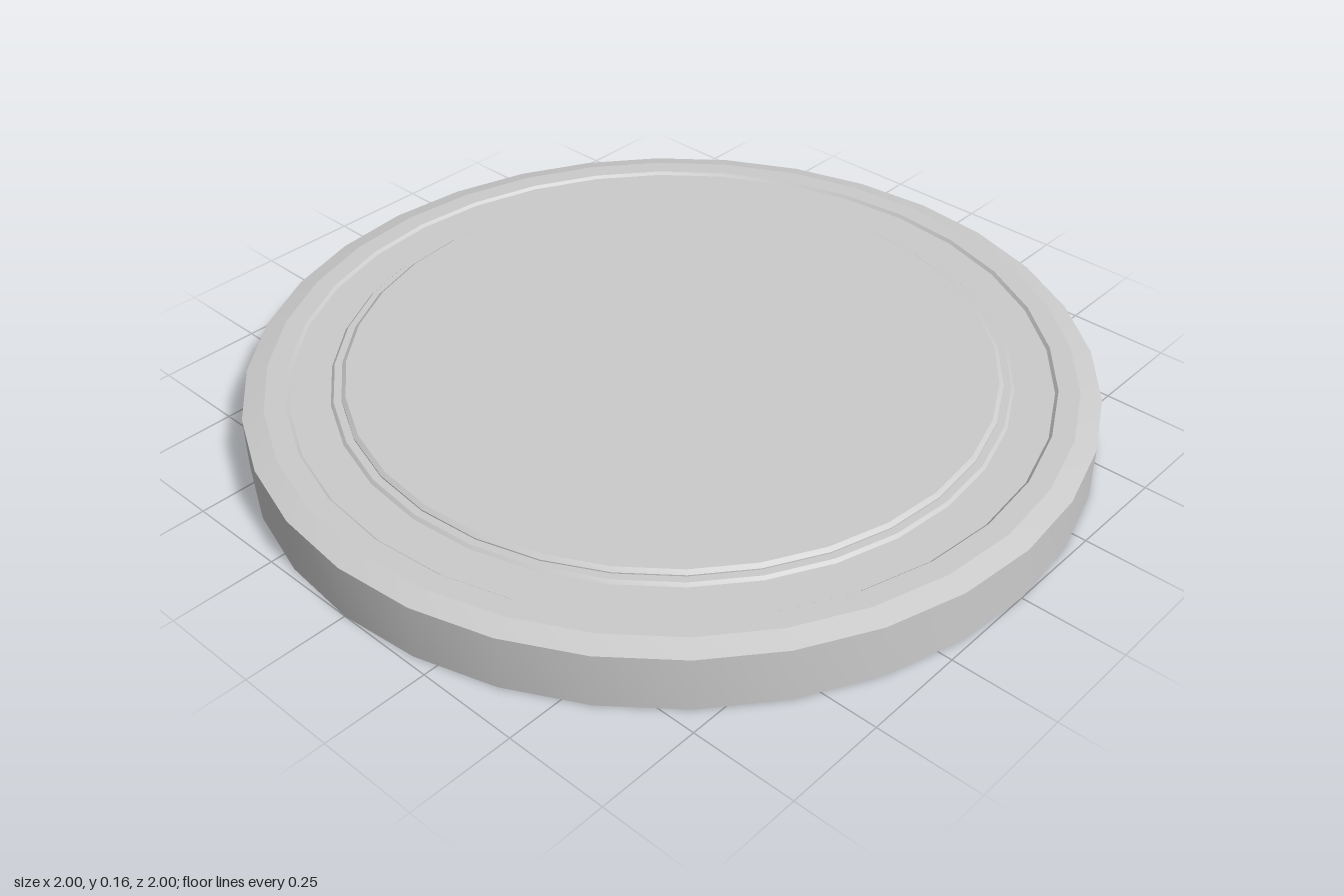
import * as THREE from 'three';
import { toCreasedNormals } from 'three/addons/utils/BufferGeometryUtils.js';

const SIDES = 32;

// Turns a [radius, height] profile about y, smooth around and sharp at profile corners
function turned(name, profile, material) {
  const points = profile.map(([r, y]) => new THREE.Vector2(r, y));
  const geometry = toCreasedNormals(new THREE.LatheGeometry(points, SIDES), 0.21);
  const mesh = new THREE.Mesh(geometry, material);
  mesh.name = name;
  return mesh;
}

export function createModel() {
  const group = new THREE.Group();
  group.name = 'roundBase';
  const material = new THREE.MeshStandardMaterial({ color: 0xcccccc });

  // Body: flat underside, upright wall, bevelled rim and a shallow ring groove
  group.add(turned('body', [
    [0, 0], [1, 0], [1, 0.133], [0.95, 0.146],
    [0.9, 0.146], [0.893, 0.139],
    [0.8, 0.139], [0.793, 0.146],
    [0.77, 0.146],
  ], material));

  // Raised centre disc with a narrow chamfered edge
  group.add(turned('centreDisc', [
    [0.775, 0.146], [0.775, 0.149], [0.765, 0.156], [0, 0.156],
  ], material));

  return group;
}
